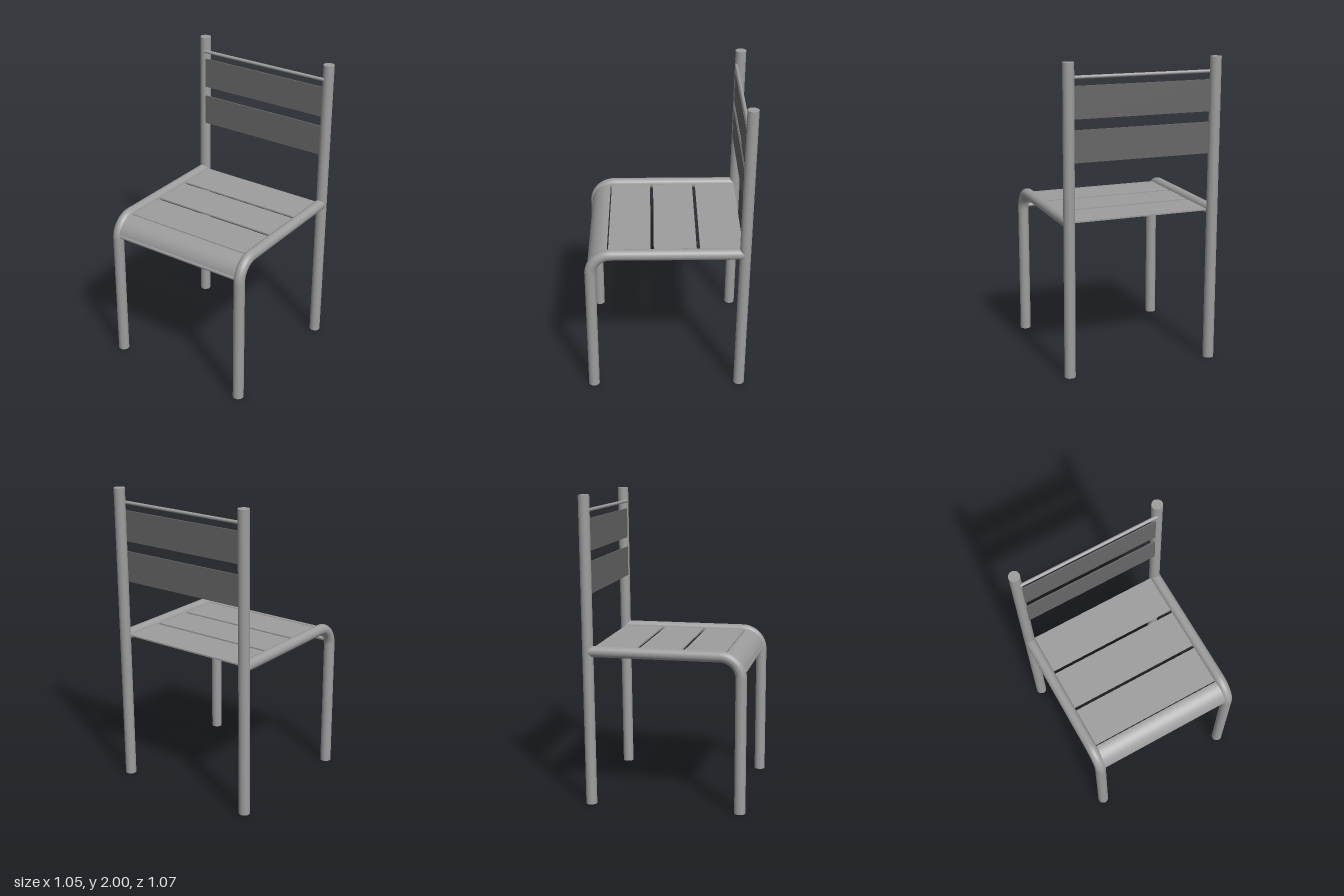
import * as THREE from 'three';

const frameMaterial = new THREE.MeshStandardMaterial({ color: 0x9d9d9d });
const backMaterial = new THREE.MeshStandardMaterial({ color: 0x666666 });

const TUBE = 0.036;      // frame tube radius
const SIDE_X = 0.487;    // frame centre line
const BEND = 0.135;      // radius of the front bend
const BEND_Z = 0.365;    // centre of the front bend
const BEND_Y = 0.875;
const SLAT_W = 0.928;
const SLAT_T = 0.01;

// Height-dependent lean of the back posts
const postZ = (y) => -0.476 - 0.0115 * y;

function add(parent, name, geometry, material = frameMaterial) {
  const mesh = new THREE.Mesh(geometry, material);
  mesh.name = name;
  parent.add(mesh);
  return mesh;
}

// Capped round bar between two points
function bar(parent, name, from, to, radius, sides = 32) {
  const a = new THREE.Vector3(...from);
  const b = new THREE.Vector3(...to);
  const mesh = add(parent, name, new THREE.CylinderGeometry(radius, radius, a.distanceTo(b), sides));
  mesh.position.copy(a).lerp(b, 0.5);
  mesh.quaternion.setFromUnitVectors(new THREE.Vector3(0, 1, 0), b.sub(a).normalize());
}

export function createModel() {
  const chair = new THREE.Group();
  chair.name = 'chair';

  // Tubular side frames: front leg, bend, seat rail, back post
  for (const [side, x] of [['left', SIDE_X], ['right', -SIDE_X]]) {
    const frame = new THREE.Group();
    frame.name = side + 'Frame';
    chair.add(frame);
    bar(frame, 'frontLeg', [x, 0, BEND_Z + BEND], [x, BEND_Y, BEND_Z + BEND], TUBE);
    const bend = add(frame, 'frontBend', new THREE.TorusGeometry(BEND, TUBE, 32, 24, Math.PI / 2));
    bend.rotation.y = -Math.PI / 2;
    bend.position.set(x, BEND_Y, BEND_Z);
    bar(frame, 'seatRail', [x, BEND_Y + BEND, BEND_Z], [x, BEND_Y + BEND, -0.485], TUBE);
    bar(frame, 'backPost', [x, 0, postZ(0)], [x, 2, postZ(2)], TUBE);
  }

  // Flat seat slats
  for (const [back, front] of [[-0.478, -0.203], [-0.182, 0.092], [0.113, 0.383]]) {
    const slat = add(chair, 'seatSlat', new THREE.BoxGeometry(SLAT_W, SLAT_T, front - back));
    slat.position.set(0, 1.011, (back + front) / 2);
  }

  // Curved front slat, rolling over the front edge
  const outer = 0.131;
  const start = 0.23;
  const end = Math.PI / 2;
  const profile = new THREE.Shape();
  profile.absarc(0, 0, outer, start, end, false);
  profile.absarc(0, 0, outer - SLAT_T, end, start, true);
  profile.closePath();
  const curved = add(chair, 'frontSeatSlat', new THREE.ExtrudeGeometry(profile, {
    depth: SLAT_W, bevelEnabled: false, curveSegments: 24,
  }));
  curved.rotation.y = -Math.PI / 2;
  curved.position.set(SLAT_W / 2, 0.885, 0.391);

  // Thin cross rods under the seat edge and above the backrest
  bar(chair, 'frontRod', [-0.475, 0.898, 0.506], [0.475, 0.898, 0.506], 0.013, 20);
  bar(chair, 'topRod', [-0.475, 1.904, -0.471], [0.475, 1.904, -0.471], 0.011, 20);

  // Darker backrest slats, leaning with the posts
  for (const y of [1.481, 1.751]) {
    const slat = add(chair, 'backSlat', new THREE.BoxGeometry(SLAT_W, 0.203, SLAT_T), backMaterial);
    slat.position.set(0, y, postZ(y) + 0.027);
    slat.rotation.x = -0.0115;
  }

  return chair;
}
